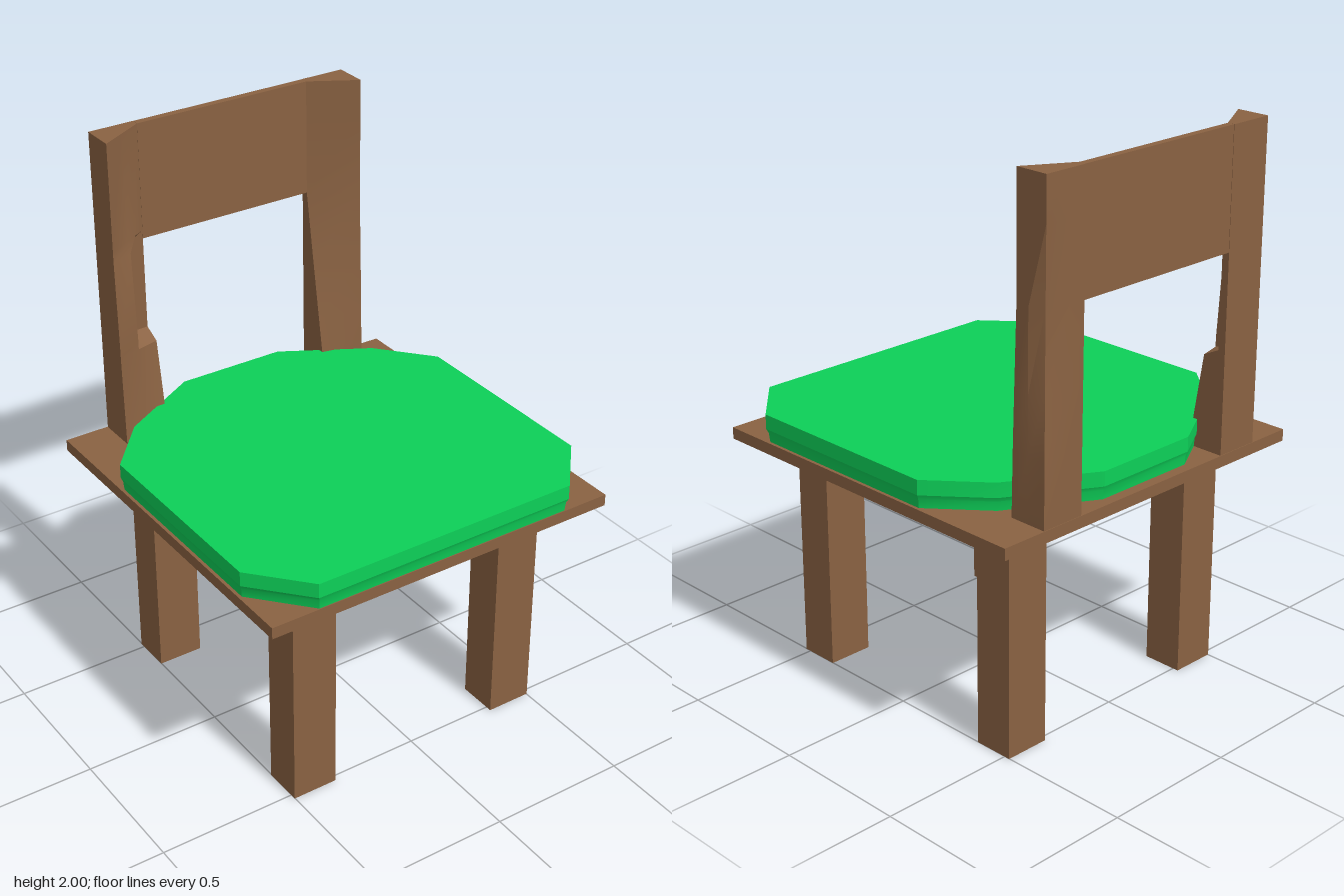
import * as THREE from 'three';
import { toCreasedNormals } from 'three/addons/utils/BufferGeometryUtils.js';

const wood = new THREE.MeshStandardMaterial({ color: 0x8a6242 });
const fabric = new THREE.MeshStandardMaterial({ color: 0x0dd058 });

// Closed solid through level sections: [y, [[x, z], ...]] from bottom to top
function loft(sections, crease = 0.4) {
  const pos = [];
  const rings = sections.map(([y, ring]) => ring.map(([x, z]) => [x, y, z]));
  const tri = (a, b, c) => pos.push(...a, ...b, ...c);
  const n = rings[0].length;
  for (let k = 0; k < rings.length - 1; k++) {
    const lo = rings[k], hi = rings[k + 1];
    for (let i = 0; i < n; i++) {
      const j = (i + 1) % n;
      tri(lo[i], lo[j], hi[j]);
      tri(lo[i], hi[j], hi[i]);
    }
  }
  const bottom = rings[0], top = rings[rings.length - 1];
  for (let i = 1; i < n - 1; i++) {
    tri(bottom[0], bottom[i + 1], bottom[i]);
    tri(top[0], top[i], top[i + 1]);
  }
  const g = new THREE.BufferGeometry();
  g.setAttribute('position', new THREE.Float32BufferAttribute(pos, 3));
  return toCreasedNormals(g, crease);
}

export function createModel() {
  const chair = new THREE.Group();
  chair.name = 'chair';
  const add = (name, geometry, material, x = 0, y = 0, z = 0) => {
    const mesh = new THREE.Mesh(geometry, material);
    mesh.name = name;
    mesh.position.set(x, y, z);
    chair.add(mesh);
  };

  // Four square legs
  for (const z of [1, -1])
    for (const x of [1, -1])
      add((z > 0 ? 'front' : 'back') + (x > 0 ? 'Left' : 'Right') + 'Leg',
        new THREE.BoxGeometry(0.167, 0.84, 0.147), wood, x * 0.418, 0.42, z * 0.448);

  // Seat board
  add('seatBoard', new THREE.BoxGeometry(1.34, 0.042, 1.34), wood, 0, 0.851, -0.004);

  // Cushion with clipped corners, narrower towards the back
  const half = [[0.5, 0.672], [0.668, 0.48], [0.668, -0.28], [0.505, -0.47], [0.2, -0.645]];
  const outline = [...half, ...half.map(([x, z]) => [-x, z]).reverse()];
  const scaled = s => outline.map(([x, z]) => [x * s, z * s]);
  add('cushion', loft([
    [0.868, scaled(0.985)], [0.905, scaled(0.99)], [0.92, scaled(1)], [0.973, scaled(1)],
  ]), fabric);

  // Left post: front face twists inward, back outer edge is eased at mid height
  const leftSection = (y, inner, outer, ease) => [y, [
    [0.335, inner], [0.5, outer], [0.5, -0.6], [0.5 - ease, -0.672 + ease],
    [0.4, -0.672], [0.335, -0.672],
  ]];
  add('leftPost', loft([
    leftSection(0.86, -0.53, -0.53, 0),
    leftSection(1.1, -0.569, -0.535, 0),
    leftSection(1.3, -0.601, -0.541, 0.02),
    leftSection(1.58, -0.645, -0.55, 0.025),
    leftSection(1.85, -0.645, -0.55, 0),
    leftSection(2, -0.645, -0.55, 0),
  ]), wood);

  // Right post: notched on its inner front corner below the backrest
  const rightSection = (y, outer, mid, corner, inner) => [y, [
    [-0.505, outer], [-0.42, mid], corner, [-0.338, inner],
    [-0.338, -0.672], [-0.505, -0.672],
  ]];
  add('rightPost', loft([
    rightSection(0.86, -0.53, -0.53, [-0.38, -0.53], -0.53),
    rightSection(1.21, -0.54, -0.565, [-0.38, -0.575], -0.585),
    rightSection(1.24, -0.54, -0.565, [-0.42, -0.64], -0.645),
    rightSection(1.57, -0.55, -0.585, [-0.42, -0.64], -0.645),
    rightSection(1.61, -0.55, -0.6, [-0.38, -0.622], -0.645),
    rightSection(2, -0.55, -0.6, [-0.38, -0.622], -0.645),
  ]), wood);

  // Backrest panel between the posts
  add('backrest', new THREE.BoxGeometry(0.675, 0.42, 0.026), wood, 0, 1.79, -0.658);

  return chair;
}
